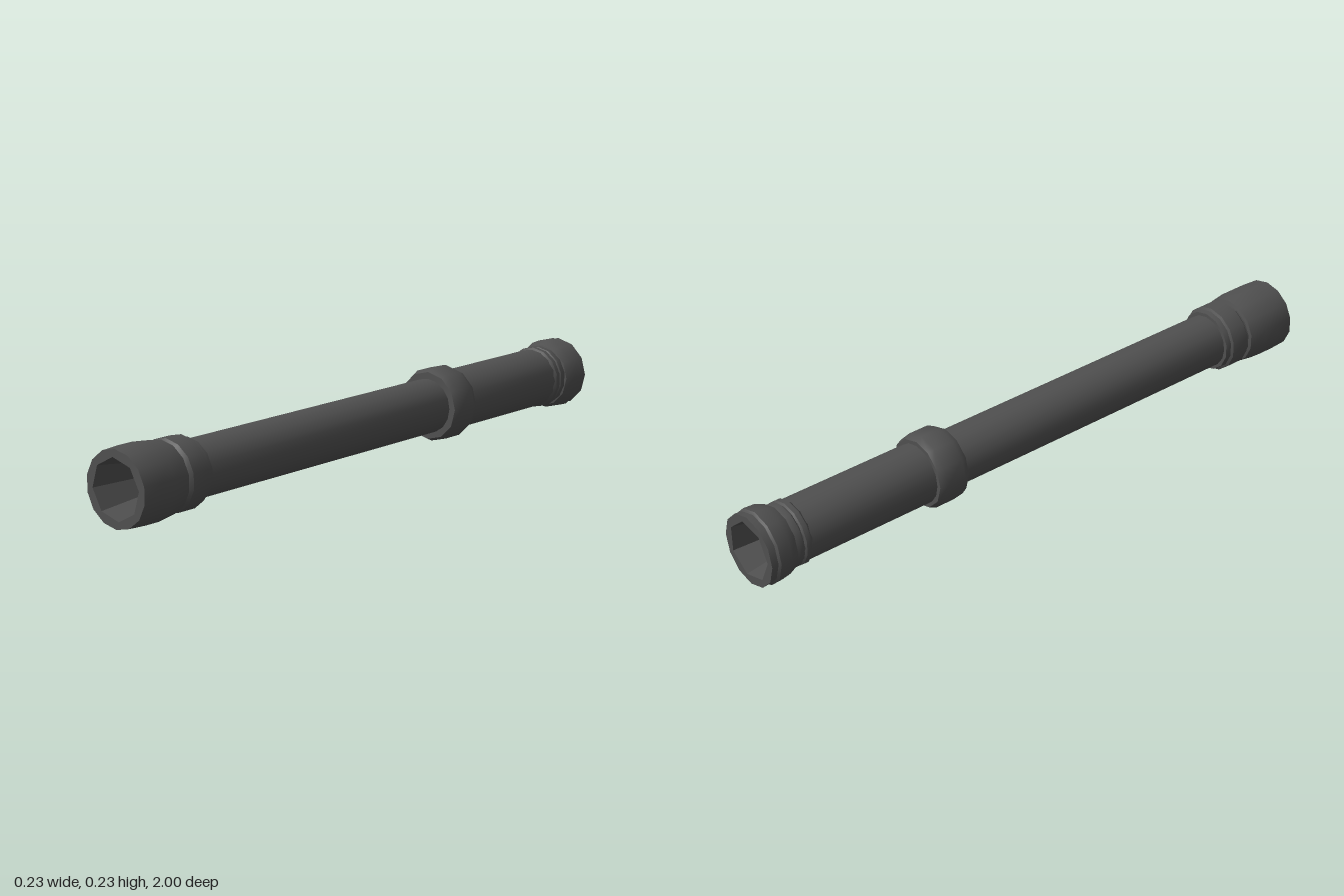
import * as THREE from 'three';
import { toCreasedNormals } from 'three/addons/utils/BufferGeometryUtils.js';

const AXIS_Y = 0.113;

export function createModel() {
  const group = new THREE.Group();
  group.name = 'metalTube';
  const darkMetal = new THREE.MeshStandardMaterial({ color: 0x505050 });
  darkMetal.name = 'dark metal';

  const add = (name, geometry) => {
    const mesh = new THREE.Mesh(geometry, darkMetal);
    mesh.name = name;
    mesh.position.y = AXIS_Y;
    group.add(mesh);
  };

  // Turned part along z; profile is [radius, z], running from back to front on the outside
  const turned = (name, profile, sides, start = 0) => {
    const points = profile.map(([r, z]) => new THREE.Vector2(r, z));
    const geometry = new THREE.LatheGeometry(points, sides, start).rotateX(Math.PI / 2);
    add(name, toCreasedNormals(geometry, 0.7));
  };

  const polygon = (r, sides, start = 0) => Array.from({ length: sides }, (_, i) => {
    const a = start + (i / sides) * Math.PI * 2;
    return new THREE.Vector2(Math.sin(a) * r, -Math.cos(a) * r);
  });

  // Flat end ring with a polygonal opening
  const rim = (name, z, r, sides, holeR, holeSides, start, back) => {
    const shape = new THREE.Shape(polygon(r, sides));
    shape.holes.push(new THREE.Path(polygon(holeR, holeSides, start)));
    const geometry = new THREE.ShapeGeometry(shape);
    if (back) geometry.scale(-1, 1, 1).rotateY(Math.PI).scale(1, 1, 1);
    if (back) {
      // Reverse the corners so that the ring faces backwards
      const index = geometry.index.array;
      for (let i = 0; i < index.length; i += 3) {
        [index[i], index[i + 1]] = [index[i + 1], index[i]];
      }
      geometry.computeVertexNormals();
    }
    add(name, geometry.translate(0, 0, z));
  };

  // Main and rear tubes
  turned('mainTube', [[0.083, -0.36], [0.083, 0.78]], 16);
  turned('rearTube', [[0.091, -0.91], [0.091, -0.36]], 16);

  // Middle collar with bevelled edges
  turned('middleCollar', [
    [0.085, -0.42], [0.104, -0.42], [0.113, -0.4],
    [0.113, -0.335], [0.104, -0.315], [0.08, -0.315],
  ], 12);

  // Front collar and its neck
  turned('frontCollar', [
    [0.08, 0.73], [0.094, 0.73], [0.096, 0.748], [0.104, 0.752],
    [0.104, 0.812], [0.094, 0.822], [0.094, 0.84],
  ], 14);

  // Front socket
  turned('frontSocket', [
    [0.09, 0.826], [0.104, 0.83], [0.112, 0.89], [0.112, 0.94], [0.109, 1],
  ], 14);
  rim('frontRim', 1, 0.109, 14, 0.087, 8, 0.1, false);
  turned('frontBore', [[0.087, 1], [0.058, 0.82], [0, 0.82]], 8, 0.1);

  // Rear neck ring and rear cap
  turned('rearNeck', [
    [0.09, -0.92], [0.096, -0.9], [0.096, -0.885], [0.091, -0.88],
    [0.097, -0.875], [0.097, -0.86], [0.088, -0.85],
  ], 14);
  turned('rearCap', [
    [0.108, -1], [0.106, -0.978], [0.112, -0.972],
    [0.11, -0.935], [0.099, -0.908], [0.085, -0.905],
  ], 12);
  rim('rearRim', -1, 0.108, 12, 0.087, 7, 0.2, true);
  turned('rearBore', [[0, -0.89], [0.066, -0.89], [0.087, -1]], 7, 0.2);

  return group;
}
